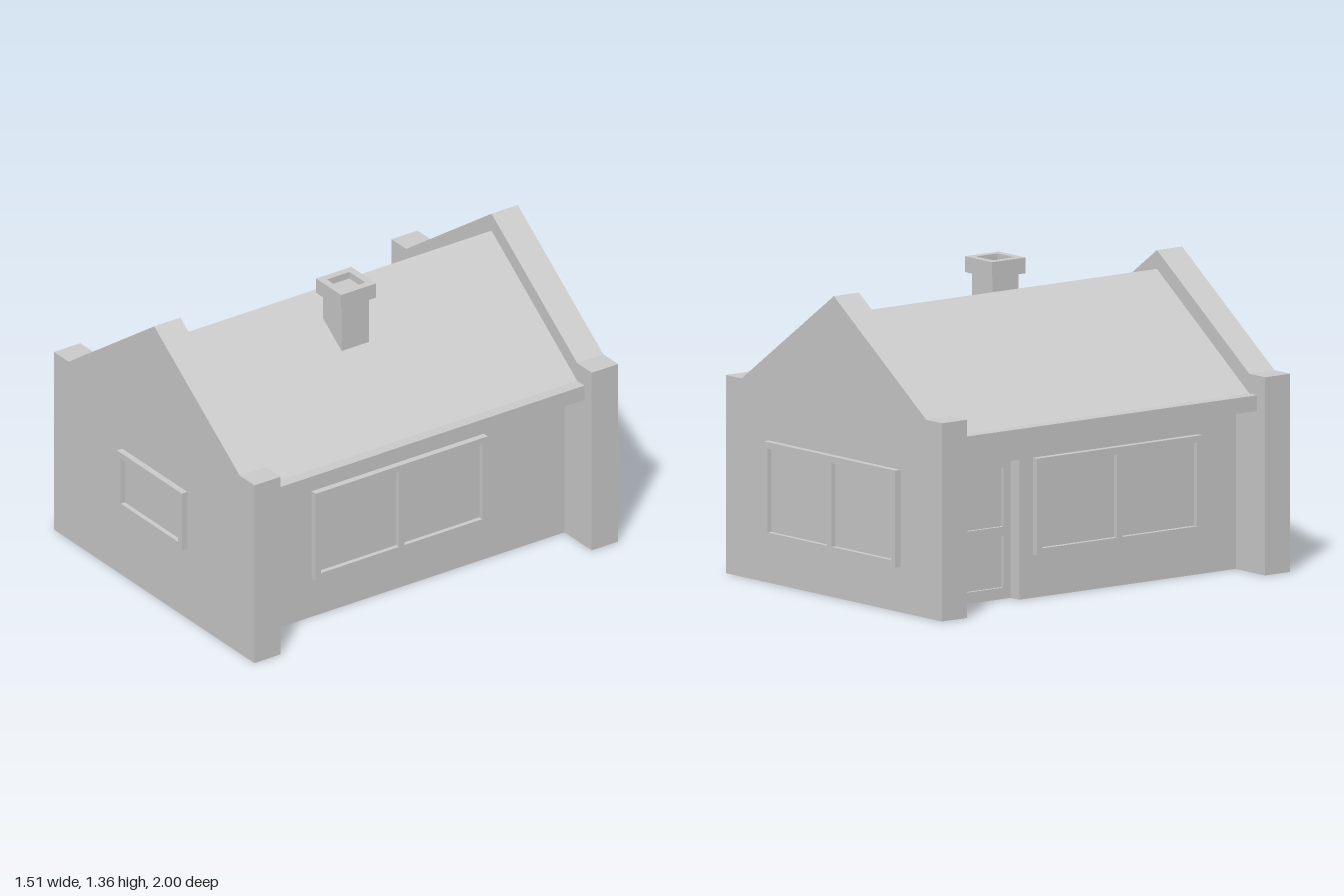
import * as THREE from 'three';

const plaster = new THREE.MeshStandardMaterial({ color: 0xcccccc, side: THREE.DoubleSide });
plaster.name = 'plasterGrey';

function add(parent, name, geometry, z = 0) {
  const mesh = new THREE.Mesh(geometry, plaster);
  mesh.name = name;
  mesh.position.z = z;
  parent.add(mesh);
  return mesh;
}

// Closed outline, with optional holes, from lists of [x, y]
const toPoints = (list) => list.map(([x, y]) => new THREE.Vector2(x, y));
function outline(points, holes = []) {
  const shape = new THREE.Shape(toPoints(points));
  holes.forEach((h) => shape.holes.push(new THREE.Path(toPoints(h))));
  return shape;
}
const rect = (x0, y0, x1, y1) => [[x0, y0], [x1, y0], [x1, y1], [x0, y1]];
const flat = (points, holes) => new THREE.ShapeGeometry(outline(points, holes));
const slab = (points, holes, depth) =>
  new THREE.ExtrudeGeometry(outline(points, holes), { depth, bevelEnabled: false });

// Open strip that sweeps a polyline from z0 to z1, one flat face per segment
function ribbon(points, z0, z1) {
  const pos = [];
  for (let i = 0; i < points.length - 1; i++) {
    const [ax, ay] = points[i], [bx, by] = points[i + 1];
    pos.push(ax, ay, z0, bx, by, z0, bx, by, z1, ax, ay, z0, bx, by, z1, ax, ay, z1);
  }
  const g = new THREE.BufferGeometry();
  g.setAttribute('position', new THREE.Float32BufferAttribute(pos, 3));
  g.computeVertexNormals();
  return g;
}
const mirrored = (half) => [...half, ...half.slice(0, -1).reverse().map(([x, y]) => [-x, y])];

// Raised window frame with panes, in wall coordinates (z outward)
const RIM = 0.03;
const opening = ([x0, y0, x1, y1]) => rect(x0 + RIM, y0 + RIM, x1 - RIM, y1 - RIM);
function addWindow(parent, box, panes) {
  const [x0, y0, x1, y1] = box;
  const holes = [];
  const w = (x1 - x0 - RIM * (panes + 1)) / panes;
  for (let i = 0; i < panes; i++) {
    const a = x0 + RIM + i * (w + RIM);
    holes.push(rect(a, y0 + RIM, a + w, y1 - RIM));
  }
  add(parent, 'windowFrame', slab(rect(...box), holes, 0.03));
  add(parent, 'windowPane', flat(opening(box)), 0.008);
}

function wallGroup(parent, name, angle, distance) {
  const g = new THREE.Group();
  g.name = name;
  g.rotation.y = angle;
  g.position.set(Math.sin(angle) * distance, 0, Math.cos(angle) * distance);
  parent.add(g);
  return g;
}

const GABLE_Z = 0.97, INNER_Z = 0.83, WALL_X = 0.55, EAVE_Y = 0.72;

// End wall: outer face, thickness strip and the inner face around the house section
function addGable(parent, name, angle, box, panes) {
  const g = wallGroup(parent, name, angle, GABLE_Z);
  const profile = mirrored([[0.755, 0], [0.755, 0.877], [0.645, 0.877], [0, 1.333]]);
  const section = mirrored([[WALL_X, 0], [WALL_X, EAVE_Y], [0.645, 0.79], [0, 1.25]]);
  add(g, 'gableFace', flat(profile, [opening(box)]));
  add(g, 'gableEdge', ribbon(profile, INNER_Z - GABLE_Z, 0));
  add(g, 'gableInnerFace', flat([...profile, ...section.reverse()]), INNER_Z - GABLE_Z);
  addWindow(g, box, panes);
}

export function createModel() {
  const house = new THREE.Group();
  house.name = 'house';

  addGable(house, 'frontGable', 0, [-0.24, 0.345, 0.25, 0.625], 1);
  addGable(house, 'backGable', Math.PI, [-0.455, 0.2, 0.465, 0.63], 2);

  // Left side wall with a wide window
  const leftBox = [-0.52, 0.19, 0.4, 0.62];
  const left = wallGroup(house, 'leftWall', Math.PI / 2, WALL_X);
  add(left, 'wall', flat(rect(-INNER_Z, 0, INNER_Z, EAVE_Y), [opening(leftBox)]));
  addWindow(left, leftBox, 2);

  // Right side wall with a wide window and a recessed door
  const rightBox = [-0.3, 0.19, 0.62, 0.62];
  const d0 = -0.75, d1 = -0.376, doorTop = 0.62, recess = -0.09;
  const right = wallGroup(house, 'rightWall', -Math.PI / 2, WALL_X);
  add(right, 'wall', flat(
    [[-INNER_Z, 0], [d0, 0], [d0, doorTop], [d1, doorTop], [d1, 0],
      [INNER_Z, 0], [INNER_Z, EAVE_Y], [-INNER_Z, EAVE_Y]],
    [opening(rightBox)]));
  addWindow(right, rightBox, 2);
  add(right, 'doorRecess', ribbon([[d0, 0], [d0, doorTop], [d1, doorTop], [d1, 0]], recess, 0));
  const doorPanels = [[0.05, 0.28], [0.32, 0.58]].map(([a, b]) => rect(d0 + 0.04, a, d1 - 0.04, b));
  add(right, 'doorFrame', slab(rect(d0, 0, d1, doorTop), doorPanels, 0.03), recess);
  add(right, 'doorPanel', flat(rect(d0 + 0.03, 0.04, d1 - 0.03, 0.59)), recess + 0.015);

  // Roof slopes with flat gutter ledges and soffits
  const roof = mirrored([[WALL_X, EAVE_Y], [0.7, EAVE_Y], [0.7, 0.79], [0.645, 0.79], [0, 1.25]]);
  add(house, 'roof', ribbon(roof, -INNER_Z, INNER_Z));

  // Chimney shaft and hollow cap
  const chimney = new THREE.Group();
  chimney.name = 'chimney';
  chimney.position.set(0.185, 0, 0.077);
  house.add(chimney);
  add(chimney, 'chimneyShaft', new THREE.BoxGeometry(0.142, 0.26, 0.145)).position.y = 1.2;
  const cap = add(chimney, 'chimneyCap',
    slab(rect(-0.094, -0.094, 0.094, 0.094), [rect(-0.06, -0.06, 0.06, 0.06)], 0.07));
  cap.rotation.x = -Math.PI / 2;
  cap.position.y = 1.292;

  return house;
}
